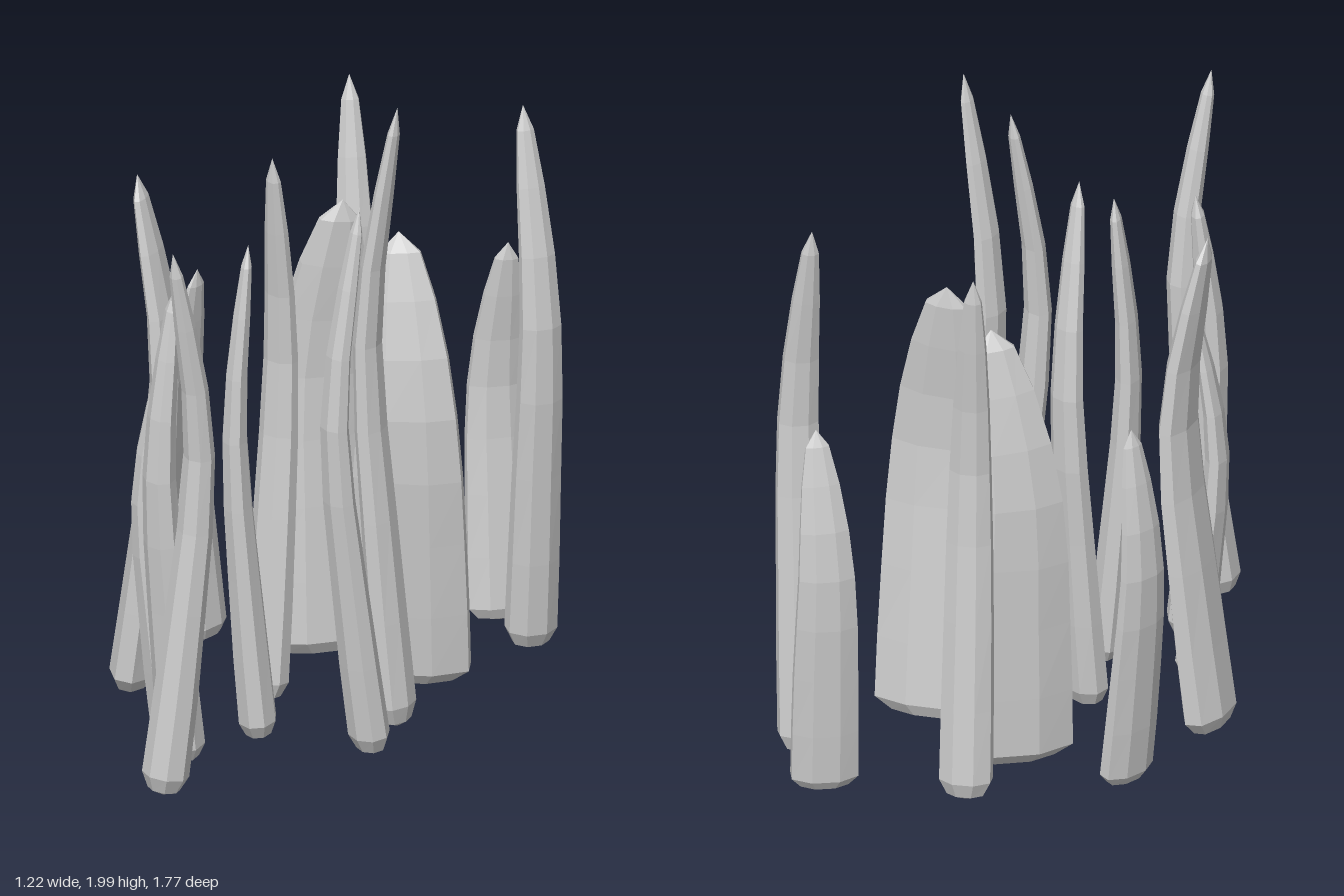
import * as THREE from 'three';

const SIDES = 8;
// height fraction, slender taper, full taper
const TAPER = [
  [0, 0, 0], [0.012, 0.68, 0.72], [0.04, 1, 1], [0.18, 0.94, 1], [0.35, 0.82, 0.98], [0.5, 0.72, 0.94],
  [0.64, 0.62, 0.86], [0.76, 0.53, 0.75], [0.87, 0.43, 0.58], [0.96, 0.27, 0.36], [1, 0, 0],
];

// One bent blade: flat section whose thin side faces the bend direction
function blade([x, z, bendX, bendZ, tipX, tipZ, height, width, thick, full]) {
  const path = new THREE.CatmullRomCurve3([
    new THREE.Vector3(x, 0.01, z),
    new THREE.Vector3(x + bendX * 0.6, height * 0.32, z + bendZ * 0.6),
    new THREE.Vector3(x + bendX, height * 0.64, z + bendZ),
    new THREE.Vector3(tipX, height, tipZ),
  ]);
  const pos = [], idx = [];
  for (const [t, slim, wide] of TAPER) {
    const p = path.getPoint(t), tan = path.getTangent(t);
    const n = new THREE.Vector3(bendX, 0, bendZ).normalize();
    n.addScaledVector(tan, -n.dot(tan)).normalize();
    const a = new THREE.Vector3().crossVectors(n, tan);
    // the width stays full for longer than the thickness
    const w = THREE.MathUtils.lerp(slim, wide, full) * width * 0.54;
    const d = THREE.MathUtils.lerp(slim, wide, full * 0.35) * thick * 0.54;
    for (let j = 0; j < SIDES; j++) {
      const th = ((j + 0.5) / SIDES) * Math.PI * 2;
      const v = p.clone().addScaledVector(a, Math.cos(th) * w).addScaledVector(n, Math.sin(th) * d);
      pos.push(v.x, v.y, v.z);
    }
  }
  // Skin the rings; the first and last rings are single points
  const last = TAPER.length - 2;
  for (let i = 0; i <= last; i++) {
    for (let j = 0; j < SIDES; j++) {
      const p = i * SIDES + j, q = i * SIDES + (j + 1) % SIDES;
      if (i > 0) idx.push(p, q, q + SIDES);
      if (i < last) idx.push(p, q + SIDES, p + SIDES);
    }
  }
  const geo = new THREE.BufferGeometry();
  geo.setAttribute('position', new THREE.Float32BufferAttribute(pos, 3));
  geo.setIndex(idx);
  geo.computeVertexNormals();
  return geo;
}

// base x, z, bend x, z, tip x, z, height, width, thickness, fullness
const BLADES = {
  broadBlade: [
    [-0.075, -0.395, -0.025, -0.038, -0.025, -0.42, 1.46, 0.37, 0.16, 0.75],
    [0.235, -0.25, 0.015, 0.085, 0.205, -0.23, 1.46, 0.36, 0.14, 0.85],
  ],
  backBlade: [
    [0.355, -0.785, -0.03, -0.05, 0.375, -0.8, 1.22, 0.2, 0.1, 0.9],
    [-0.06, -0.68, 0.02, 0.08, -0.08, -0.67, 1.76, 0.155, 0.12, 0.7],
    [0.5, -0.61, 0.055, 0.08, 0.485, -0.585, 1.76, 0.15, 0.12, 0.75],
  ],
  middleBlade: [
    [-0.445, -0.38, -0.07, -0.03, -0.465, -0.38, 1.2, 0.18, 0.09, 0.9],
    [-0.545, 0.03, 0.11, 0, -0.53, 0.03, 1.66, 0.24, 0.13, 0.85],
    [-0.14, 0.02, 0.03, -0.08, -0.11, 0.03, 1.76, 0.145, 0.11, 0.5],
    [0.3, 0.1, -0.095, -0.01, 0.3, 0.1, 2, 0.15, 0.11, 0.65],
  ],
  frontBlade: [
    [-0.345, 0.32, -0.075, 0.02, -0.36, 0.32, 1.22, 0.16, 0.1, 0.5],
    [-0.07, 0.3, -0.07, 0.02, -0.11, 0.28, 1.58, 0.16, 0.11, 0.55],
    [0.285, 0.32, -0.09, 0.085, 0.25, 0.33, 1.76, 0.145, 0.11, 0.5],
    [-0.235, 0.535, -0.065, 0.035, -0.27, 0.515, 1.51, 0.16, 0.13, 0.95],
    [-0.215, 0.815, 0.09, -0.075, -0.18, 0.83, 1.76, 0.14, 0.13, 0.4],
  ],
};

export function createModel() {
  const group = new THREE.Group();
  group.name = 'bladeCluster';
  const material = new THREE.MeshStandardMaterial({ color: 0xcccccc, flatShading: true });
  for (const [name, list] of Object.entries(BLADES)) {
    list.forEach((spec, i) => {
      const mesh = new THREE.Mesh(blade(spec), material);
      mesh.name = name + (i + 1);
      group.add(mesh);
    });
  }
  return group;
}
